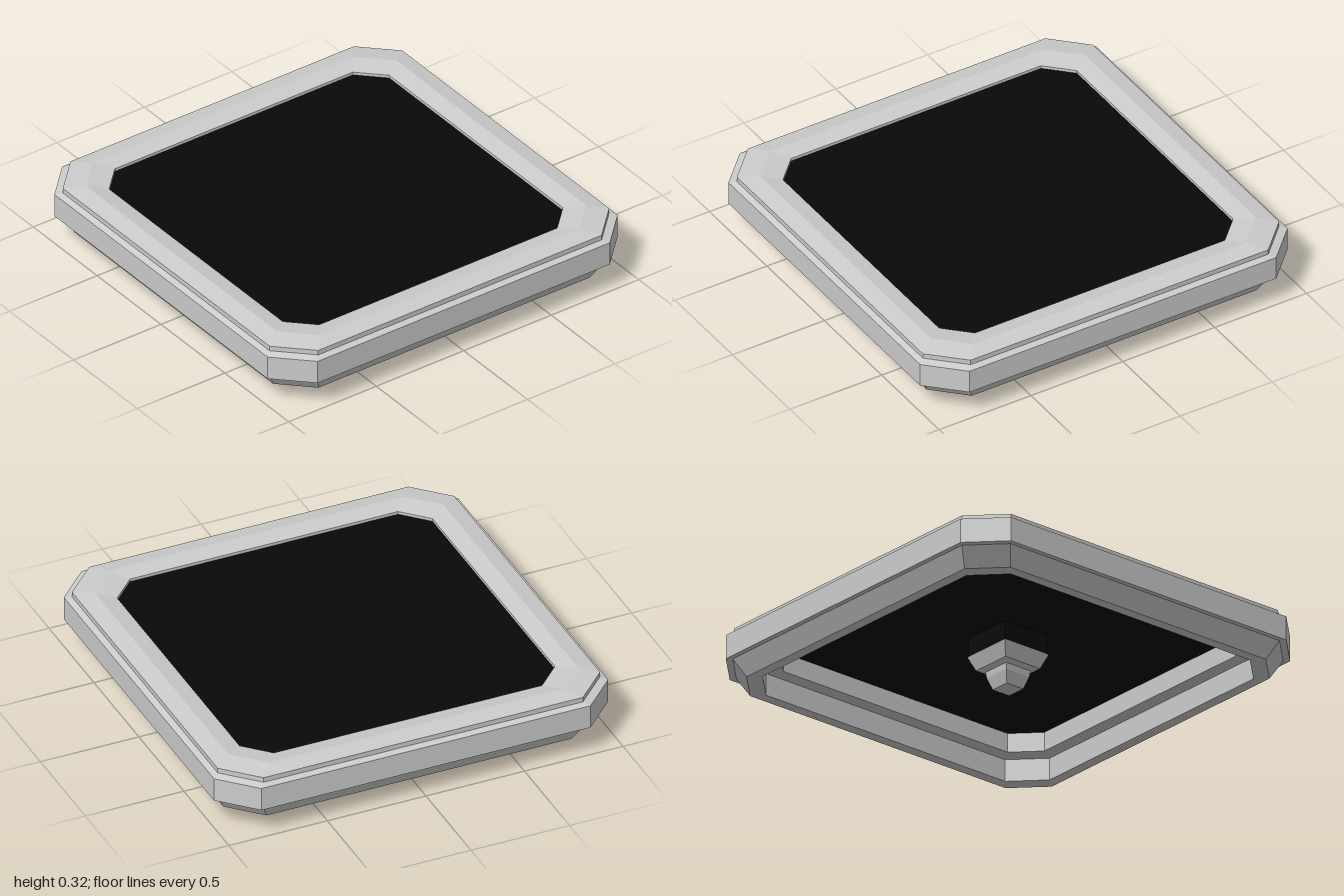
import * as THREE from 'three';

const grey = new THREE.MeshStandardMaterial({ color: 0xcccccc, flatShading: true });
const black = new THREE.MeshStandardMaterial({ color: 0x080808, flatShading: true });

// Square of half width h with corners cut by c, counter-clockwise seen from above, as [x, z]
function octagon(h, c) {
  const k = h - c;
  return [[h, k], [h, -k], [k, -h], [-k, -h], [-h, -k], [-h, k], [-k, h], [k, h]];
}

// Sweeps a closed profile of [half width, corner cut, height] around the octagon
function frameGeometry(profile) {
  const rings = profile.map(([h, c, y]) => octagon(h, c).map(([x, z]) => [x, y, z]));
  const pos = [];
  rings.forEach((low, r) => {
    const high = rings[(r + 1) % rings.length];
    for (let i = 0; i < 8; i++) {
      const j = (i + 1) % 8;
      pos.push(...low[i], ...low[j], ...high[j], ...low[i], ...high[j], ...high[i]);
    }
  });
  const g = new THREE.BufferGeometry();
  g.setAttribute('position', new THREE.Float32BufferAttribute(pos, 3));
  g.computeVertexNormals();
  return g;
}

// Flat cut-corner slab
function slabGeometry(h, c, y, thickness) {
  const shape = new THREE.Shape(octagon(h, c).map(([x, z]) => new THREE.Vector2(x, -z)));
  const g = new THREE.ExtrudeGeometry(shape, { depth: thickness, bevelEnabled: false });
  return g.rotateX(-Math.PI / 2).translate(0, y, 0);
}

// Four-sided turned part from [half width, height], bottom to top
function squareTurned(profile) {
  const pts = profile.map(([h, y]) => new THREE.Vector2(h * Math.SQRT2, y));
  return new THREE.LatheGeometry(pts, 4, Math.PI / 4);
}

export function createModel() {
  const model = new THREE.Group();
  const add = (name, geometry, material) => {
    const mesh = new THREE.Mesh(geometry, material);
    mesh.name = name;
    model.add(mesh);
  };

  // Stepped rim: underside skirt, outer wall, raised bevelled lip, stepped inside
  add('frame', frameGeometry([
    [0.925, 0.15, 0.06],
    [0.975, 0.16, 0.15],
    [1.0, 0.165, 0.15],
    [1.0, 0.165, 0.27],
    [0.97, 0.16, 0.28],
    [0.97, 0.16, 0.305],
    [0.885, 0.14, 0.32],
    [0.8, 0.12, 0.305],
    [0.8, 0.12, 0.17],
    [0.87, 0.145, 0.17],
    [0.87, 0.145, 0.06],
  ]), grey);

  // Dark surface set into the rim
  add('panel', slabGeometry(0.805, 0.122, 0.265, 0.025), black);

  // Two-step stud below the centre, on a dark stem
  add('stud', squareTurned([[0, 0], [0.05, 0], [0.07, 0.06], [0.074, 0.09], [0.105, 0.1], [0.134, 0.17], [0, 0.17]]), grey);
  add('studStem', squareTurned([[0.13, 0.17], [0.13, 0.27]]), black);

  return model;
}
